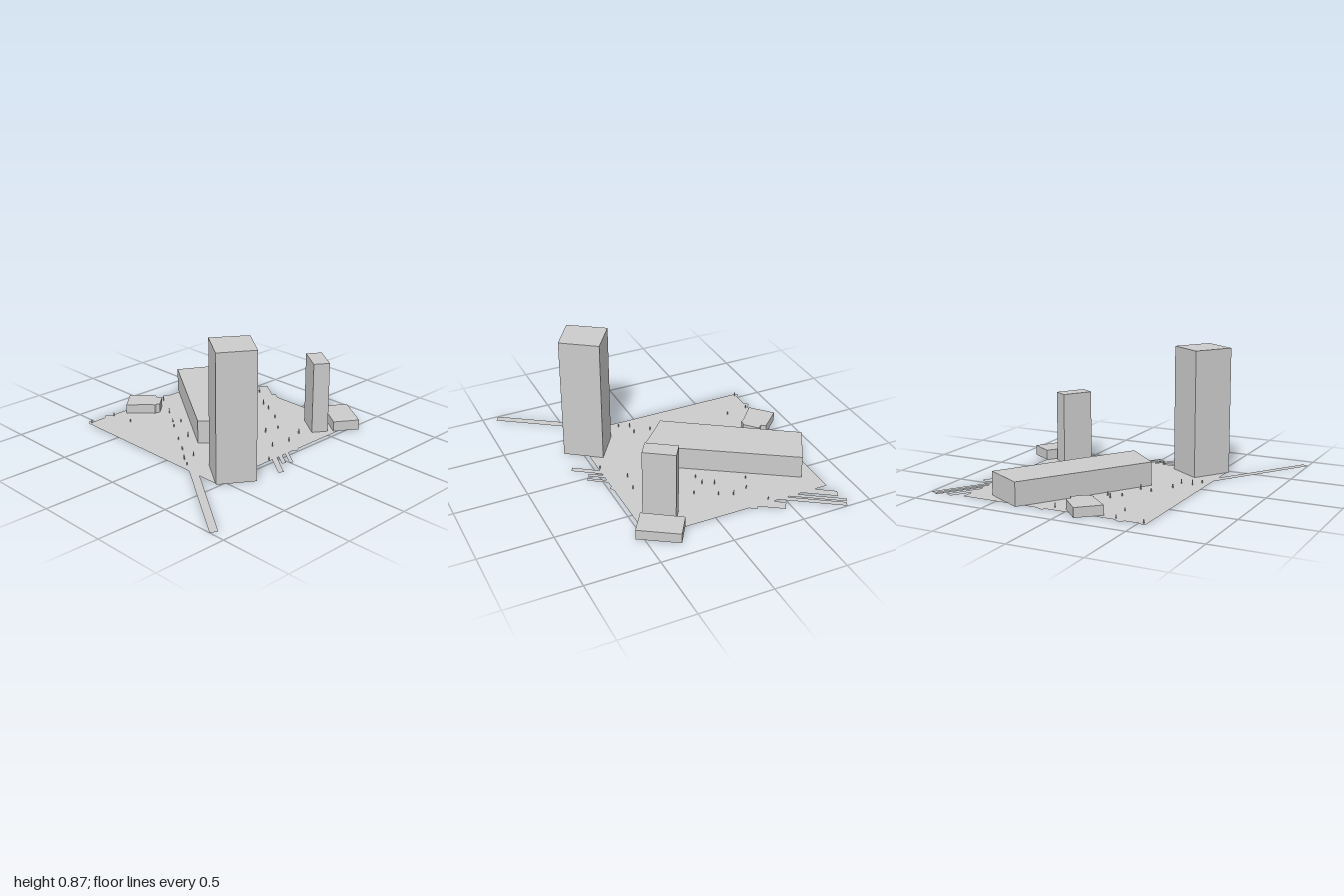
import * as THREE from 'three';

const solid = new THREE.MeshStandardMaterial({ color: 0xcccccc, flatShading: true });
const sheet = new THREE.MeshStandardMaterial({ color: 0xcccccc, flatShading: true, side: THREE.DoubleSide });

// Plan outline from [x, z] corners
const outline = (pts) => new THREE.Shape(pts.map(([x, z]) => new THREE.Vector2(x, -z)));

// Flat paving lying on the ground
function paving(name, pts) {
  const mesh = new THREE.Mesh(new THREE.ShapeGeometry(outline(pts)).rotateX(-Math.PI / 2), sheet);
  mesh.name = name;
  return mesh;
}

// Prism rising from the ground
function block(name, height, pts) {
  const geo = new THREE.ExtrudeGeometry(outline(pts), { depth: height, bevelEnabled: false });
  const mesh = new THREE.Mesh(geo.rotateX(-Math.PI / 2), solid);
  mesh.name = name;
  return mesh;
}

export function createModel() {
  const model = new THREE.Group();
  model.name = 'siteModel';

  // Square ground
  model.add(paving('ground', [[-0.55, -0.83], [0.75, -0.83], [0.75, 0.47], [-0.55, 0.47]]));

  // Buildings
  model.add(
    block('tallTower', 0.87, [[-0.4, 0.242], [-0.183, 0.39], [-0.342, 0.616], [-0.56, 0.475]]),
    block('longHall', 0.16, [[0.328, -0.878], [0.597, -0.725], [0.02, 0.172], [-0.22, -0.06]]),
    block('smallTower', 0.5, [[0.58, 0.18], [0.673, 0.242], [0.552, 0.422], [0.459, 0.36]]),
    block('lowAnnex', 0.07, [[0.742, 0.21], [0.89, 0.305], [0.732, 0.55], [0.58, 0.45]]),
    block('pavilion', 0.065, [[-0.105, -0.915], [0.025, -0.775], [0.003, -0.745], [0.03, -0.715],
      [-0.02, -0.67], [-0.06, -0.635], [-0.08, -0.645], [-0.1, -0.642], [-0.112, -0.665], [-0.245, -0.785]])
  );

  // Paths running off the ground's edges
  const paths = new THREE.Group();
  paths.name = 'paths';
  [
    [[-0.55, 0.215], [-0.55, 0.315], [-0.955, 0.91], [-1, 0.885]],
    [[0.75, -0.735], [0.832, -0.857], [0.88, -0.833], [0.75, -0.635]],
    [[0.75, -0.6], [0.93, -0.87], [0.955, -0.855], [0.75, -0.545]],
    [[0.75, -0.525], [0.962, -0.848], [0.997, -0.83], [0.75, -0.46]],
    [[0.75, -0.42], [0.8, -0.49], [0.857, -0.452], [0.75, -0.29]],
    [[0.75, -0.31], [0.78, -0.29], [0.75, -0.24]],
    [[-0.05, 0.47], [-0.005, 0.47], [-0.125, 0.645], [-0.16, 0.628]],
    [[0.012, 0.47], [0.045, 0.47], [-0.02, 0.567], [-0.045, 0.552]],
    [[0.075, 0.47], [0.105, 0.47], [0.022, 0.592], [0, 0.578]],
    [[0.15, 0.47], [0.205, 0.47], [0.175, 0.487]],
    [[-0.55, -0.83], [-0.53, -0.852], [-0.51, -0.83]],
    [[-0.41, -0.83], [-0.38, -0.86], [-0.34, -0.83]],
    [[0.14, -0.83], [0.155, -0.855], [0.21, -0.83]],
  ].forEach((pts) => paths.add(paving('path', pts)));
  model.add(paths);

  // Tiny standing figures scattered over the ground
  const figures = new THREE.Group();
  figures.name = 'figures';
  [
    [-0.16, -0.37], [-0.07, -0.4], [-0.11, -0.44], [-0.02, -0.58], [-0.32, -0.65], [-0.34, -0.81],
    [0.1, -0.78], [-0.2, -0.18], [-0.28, -0.19], [-0.37, -0.05], [-0.38, 0.07], [-0.46, 0.07],
    [-0.5, 0.14], [-0.07, 0.46], [0.1, 0.33], [0.23, 0.14], [0.34, 0.15], [0.3, -0.08],
    [0.38, -0.09], [0.42, -0.16], [0.45, -0.38], [0.55, -0.33], [0.54, -0.13], [0.58, -0.22],
    [0.72, -0.4], [0.46, 0.01], [0.24, 0.35], [0.38, 0.31], [0.57, 0.3], [-0.53, -0.82],
  ].forEach(([x, z], i) => {
    const h = 0.02 + 0.005 * (i % 4);
    const figure = new THREE.Mesh(new THREE.BoxGeometry(0.006, h, 0.006), solid);
    figure.name = 'figure';
    figure.position.set(x, h / 2, z);
    figure.rotation.y = 0.98;
    figures.add(figure);
  });
  model.add(figures);

  return model;
}
